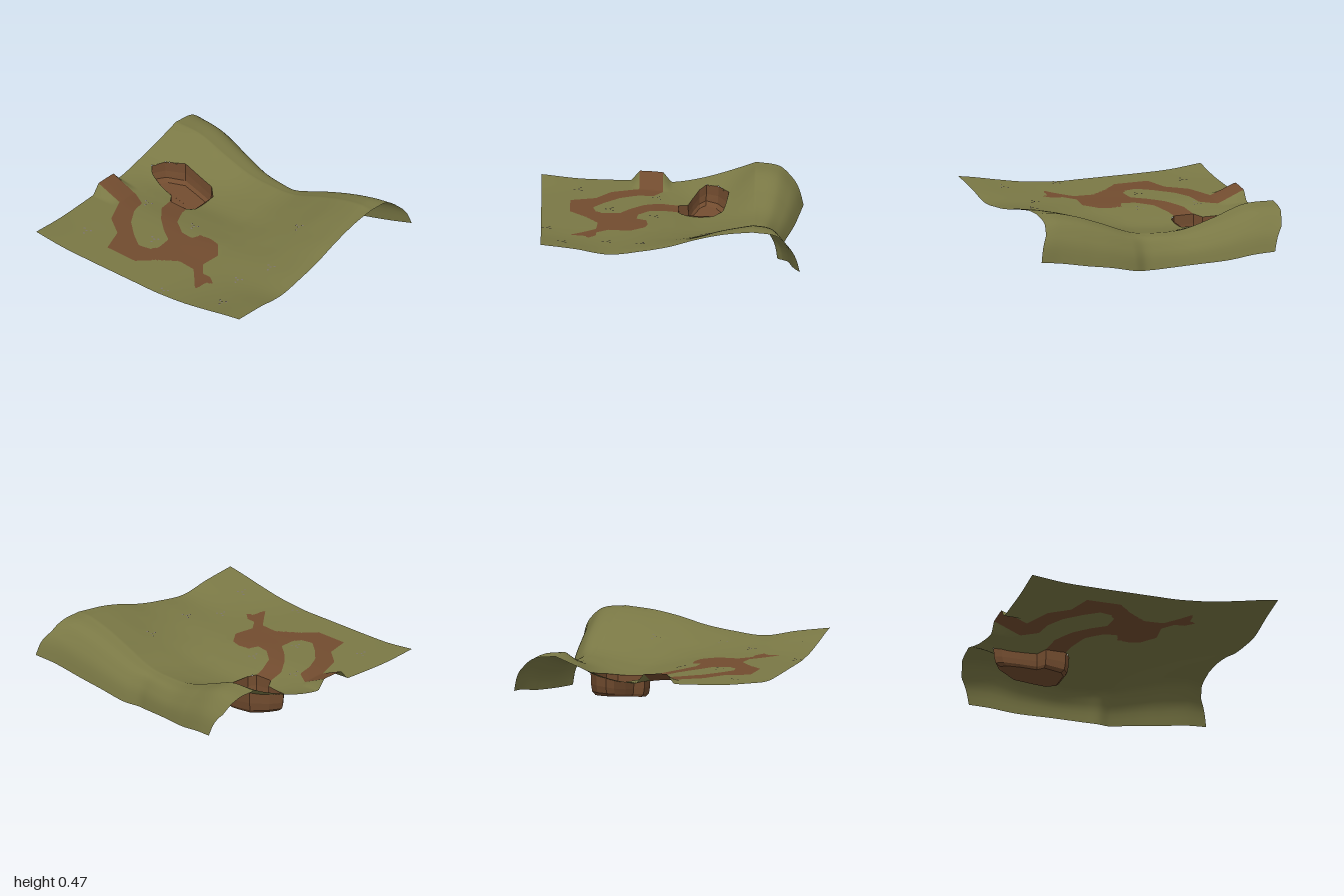
import * as THREE from 'three';

// Height chart: rows run back to front, columns left to right; last column is the hanging edge
const ROW_Z = [-1, -0.75, -0.5, -0.25, 0, 0.1, 0.2, 0.4, 0.6, 0.8, 0.92];
const COL_X = [-0.96, -0.7, -0.45, -0.2, 0, 0.2, 0.4, 0.62];
const CREST = 0.62;
const HEIGHTS = [
  [0.28, 0.25, 0.24, 0.235, 0.225, 0.255, 0.315, 0.395],
  [0.255, 0.245, 0.24, 0.23, 0.205, 0.19, 0.24, 0.39],
  [0.25, 0.245, 0.24, 0.23, 0.195, 0.165, 0.2, 0.31],
  [0.25, 0.245, 0.24, 0.23, 0.2, 0.165, 0.185, 0.24],
  [0.25, 0.245, 0.24, 0.235, 0.205, 0.18, 0.2, 0.235],
  [0.25, 0.245, 0.24, 0.235, 0.21, 0.195, 0.215, 0.245],
  [0.255, 0.245, 0.24, 0.235, 0.22, 0.215, 0.24, 0.27],
  [0.275, 0.255, 0.245, 0.25, 0.25, 0.27, 0.305, 0.35],
  [0.31, 0.28, 0.26, 0.275, 0.295, 0.33, 0.38, 0.42],
  [0.35, 0.315, 0.28, 0.305, 0.335, 0.385, 0.43, 0.465],
  [0.37, 0.335, 0.29, 0.315, 0.35, 0.405, 0.445, 0.465],
];
const EDGE_X = [0.97, 0.945, 0.905, 0.845, 0.8, 0.79, 0.835, 0.875, 0.9, 0.93, 0.97];
const EDGE_Y = [0.1, 0.085, 0.05, 0.025, 0.004, 0, 0.018, 0.07, 0.11, 0.16, 0.19];

// Outlines on the ground, as x, z pairs
const TRACK = [
  [-0.245, -1.1], [-0.245, -0.8], [-0.45, -0.71], [-0.56, -0.56], [-0.75, -0.5], [-0.75, -0.24],
  [-0.63, -0.11], [-0.54, 0.02], [-0.55, 0.16], [-0.66, 0.26], [-0.73, 0.32], [-0.71, 0.34],
  [-0.64, 0.34], [-0.6, 0.385], [-0.55, 0.32], [-0.55, 0.25], [-0.46, 0.175], [-0.3, 0.19],
  [-0.19, 0.1], [-0.17, 0.02], [-0.18, -0.07], [-0.255, -0.1], [-0.245, -0.2], [-0.155, -0.32],
  [-0.02, -0.385], [0.05, -0.4], [0.05, -0.555], [-0.08, -0.53], [-0.21, -0.43], [-0.31, -0.32],
  [-0.38, -0.22], [-0.5, -0.21], [-0.56, -0.25], [-0.58, -0.34], [-0.5, -0.45], [-0.39, -0.57],
  [-0.26, -0.645], [-0.14, -0.67], [-0.07, -0.79], [-0.07, -1.1],
];
const PIT = [
  [0.05, -0.555], [0.12, -0.6], [0.15, -0.72], [0.2, -0.85], [0.25, -0.9], [0.34, -0.85],
  [0.42, -0.72], [0.4, -0.55], [0.38, -0.43], [0.31, -0.36], [0.1, -0.36], [0.05, -0.4],
];

const clamp01 = (v) => Math.min(1, Math.max(0, v));

// Smooth curve through the points (xs, ys), or straight segments
function curve(xs, ys, x, smooth = true) {
  const n = xs.length;
  let i = 0;
  while (i < n - 2 && x > xs[i + 1]) i++;
  const h = xs[i + 1] - xs[i];
  const t = clamp01((x - xs[i]) / h);
  if (!smooth) return ys[i] + (ys[i + 1] - ys[i]) * t;
  const slope = (k) => {
    const a = Math.max(0, k - 1), b = Math.min(n - 1, k + 1);
    return (ys[b] - ys[a]) / (xs[b] - xs[a]);
  };
  const t2 = t * t, t3 = t2 * t;
  return (2 * t3 - 3 * t2 + 1) * ys[i] + (t3 - 2 * t2 + t) * h * slope(i)
    + (3 * t2 - 2 * t3) * ys[i + 1] + (t3 - t2) * h * slope(i + 1);
}

const edgeX = (z) => curve(ROW_Z, EDGE_X, z);

// Point on the ground sheet above (x, z)
function ground(x, z) {
  let y = curve(ROW_Z, HEIGHTS.map((row) => curve(COL_X, row, Math.min(x, CREST))), z);
  if (x > CREST) {
    const t = (x - CREST) / (edgeX(z) - CREST);
    const low = Math.max(0, curve(ROW_Z, EDGE_Y, z));
    y = low + (y - low) * curve([0, 0.5, 0.8, 0.93, 1], [1, 0.9, 0.58, 0.32, 0], t);
  }
  // raised ramp where the track leaves at the back
  const side = Math.max(-0.245 - x, x + 0.07, 0);
  y += 0.075 * clamp01((-0.8 - z) / 0.2) * clamp01(1 - side / 0.06);
  // wavy back and front borders
  const back = curve([0.2, 0.6, 0.8, 0.9, 0.97], [0, 0.03, 0.04, 0.07, 0.15], x, false);
  const front = curve([-0.96, -0.5, 0.5, 0.8, 0.88, 0.97], [0.005, -0.01, -0.02, -0.01, 0.01, 0.08], x, false);
  const dz = back * clamp01((-z - 0.5) / 0.5) + front * clamp01((z - 0.5) / 0.42);
  return new THREE.Vector3(x, y, z + dz);
}

function inside(poly, x, z) {
  let hit = false;
  poly.forEach(([ax, az], i) => {
    const [bx, bz] = poly[(i + 1) % poly.length];
    if ((az > z) !== (bz > z) && x < ax + ((z - az) / (bz - az)) * (bx - ax)) hit = !hit;
  });
  return hit;
}

// Pull a grid point onto the closest outline so the borders come out clean
function snap(x, z, reach) {
  let best = reach, out = [x, z];
  for (const poly of [PIT, TRACK]) {
    poly.forEach(([ax, az], i) => {
      const [bx, bz] = poly[(i + 1) % poly.length];
      const dx = bx - ax, dz = bz - az;
      const t = clamp01(((x - ax) * dx + (z - az) * dz) / (dx * dx + dz * dz));
      const px = ax + dx * t, pz = az + dz * t;
      const d = Math.hypot(px - x, pz - z);
      if (d < best) { best = d; out = [px, pz]; }
    });
  }
  return out;
}

function groundGeometry() {
  const NX = 144, NZ = 144, positions = [], grass = [], earth = [], flat = [];
  for (let j = 0; j <= NZ; j++) {
    const z0 = -1 + (1.92 * j) / NZ;
    const left = -0.97 + 0.01 * (j / NZ) * 2;
    for (let i = 0; i <= NX; i++) {
      const u = i / NX;
      const x0 = u < 0.82 ? left + (CREST - left) * (u / 0.82)
        : CREST + (edgeX(z0) - CREST) * ((u - 0.82) / 0.18);
      const border = j === 0 || j === NZ || i === 0 || i === NX;
      const [x, z] = border ? [x0, z0] : snap(x0, z0, 0.0072);
      flat.push([x, z]);
      positions.push(...ground(x, z).toArray());
    }
  }
  const addFace = (...f) => {
    const cx = f.reduce((s, k) => s + flat[k][0], 0) / 3;
    const cz = f.reduce((s, k) => s + flat[k][1], 0) / 3;
    if (inside(PIT, cx, cz)) return;
    (inside(TRACK, cx, cz) ? earth : grass).push(...f);
  };
  for (let j = 0; j < NZ; j++) for (let i = 0; i < NX; i++) {
    const a = j * (NX + 1) + i, c = a + NX + 1;
    addFace(a, c, a + 1);
    addFace(a + 1, c, c + 1);
  }
  const g = new THREE.BufferGeometry();
  g.setAttribute('position', new THREE.Float32BufferAttribute(positions, 3));
  g.setIndex([...grass, ...earth]);
  g.addGroup(0, grass.length, 0);
  g.addGroup(grass.length, earth.length, 1);
  g.computeVertexNormals();
  return g;
}

// Pit: rings stepping down from the rim to a sloping floor
function pitGeometry() {
  const cx = 0.23, cz = -0.58, n = PIT.length, positions = [], index = [];
  const rings = [[1, 0], [0.99, 0.5], [0.95, 0.85], [0.84, 1], [0.001, 1]];
  for (const [scale, depth] of rings) for (const [px, pz] of PIT) {
    const x = cx + (px - cx) * scale, z = cz + (pz - cz) * scale;
    const rim = ground(px, pz);
    const floor = 0.022 + Math.max(0, -0.38 - z) * 0.15;
    positions.push(x, rim.y + (floor - rim.y) * depth, z + rim.z - pz);
  }
  for (let r = 0; r < rings.length - 1; r++) for (let i = 0; i < n; i++) {
    const a = r * n + i, b = r * n + ((i + 1) % n);
    index.push(a, a + n, b, b, a + n, b + n);
  }
  const g = new THREE.BufferGeometry();
  g.setAttribute('position', new THREE.Float32BufferAttribute(positions, 3));
  g.setIndex(index);
  const faceted = g.toNonIndexed();
  faceted.computeVertexNormals();
  return faceted;
}

export function createModel() {
  const model = new THREE.Group();
  const material = (name, color) => {
    const m = new THREE.MeshStandardMaterial({ color, side: THREE.DoubleSide });
    m.name = name;
    return m;
  };
  const grass = material('grass', 0x7a7845);
  const earth = material('earth', 0x724c2f);
  const stone = material('stone', 0x7d746c);
  const add = (parent, name, geometry, mat) => {
    const mesh = new THREE.Mesh(geometry, mat);
    mesh.name = name;
    parent.add(mesh);
    return mesh;
  };

  add(model, 'groundWithTrack', groundGeometry(), [grass, earth]);
  add(model, 'pit', pitGeometry(), earth);

  // Scattered clusters of flat pebbles
  const pebbles = new THREE.Group();
  pebbles.name = 'pebbles';
  model.add(pebbles);
  const disc = new THREE.CircleGeometry(0.009, 6).rotateX(-Math.PI / 2);
  const clusters = [[-0.69, -0.75], [-0.11, -0.64], [-0.45, -0.3], [-0.12, -0.19], [-0.91, 0.17],
    [-0.46, 0.51], [0.27, 0.49], [-0.79, 0.63], [-0.21, 0.62]];
  for (const [x, z] of clusters) {
    for (const [dx, dz] of [[-0.035, 0.005], [0.015, -0.03], [0.02, 0.025], [0, 0]]) {
      const p = add(pebbles, 'pebble', disc, stone);
      p.position.copy(ground(x + dx, z + dz));
      p.position.y += 0.004;
    }
  }
  return model;
}
